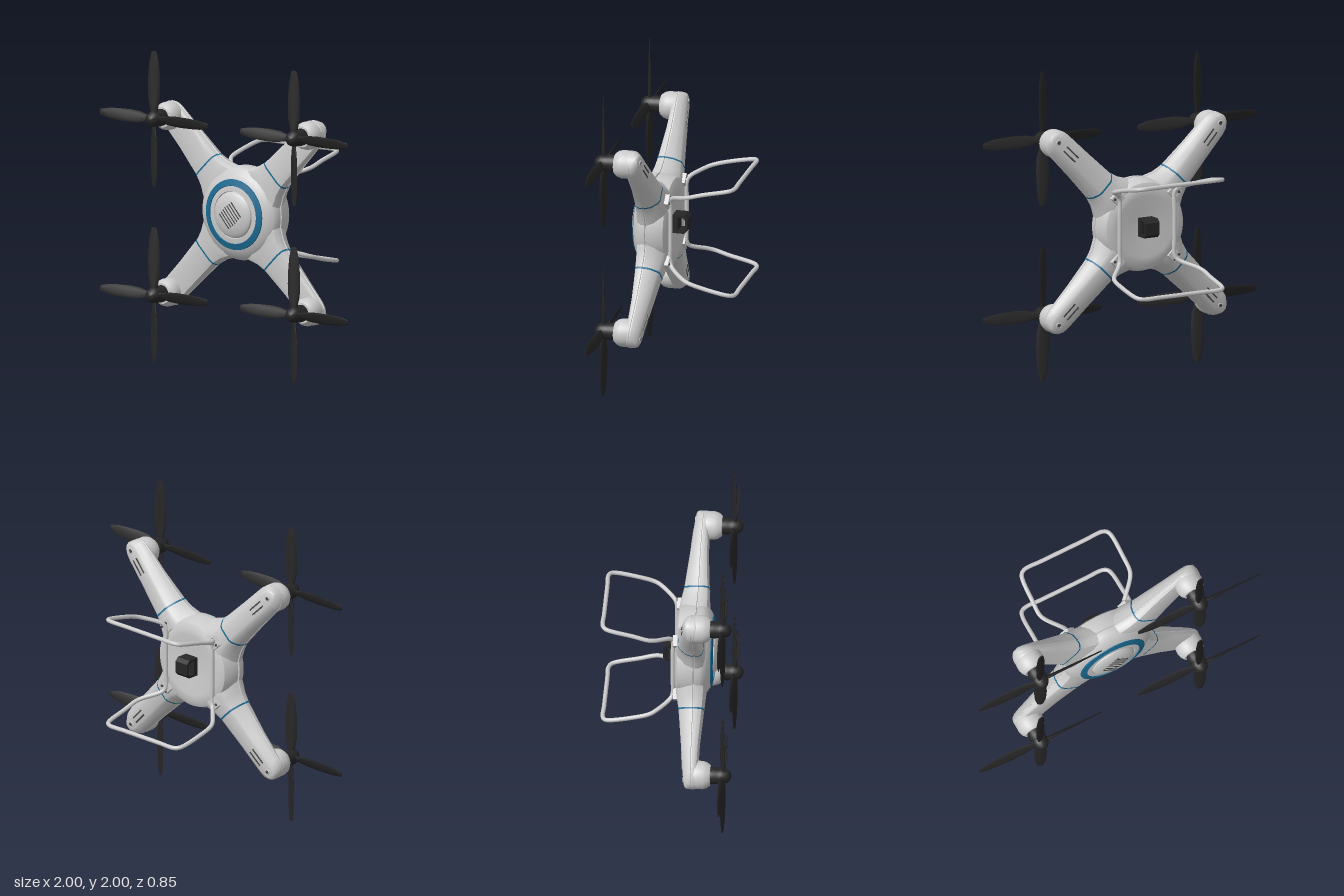
import * as THREE from 'three';
import { toCreasedNormals } from 'three/addons/utils/BufferGeometryUtils.js';

const material = (color) => new THREE.MeshStandardMaterial({ color });
const grey = material(0xcccccc);
const black = material(0x262626);
const blue = material(0x1a6a92);
const dark = material(0x4a4a4a);

function add(parent, name, geometry, mat, x = 0, y = 0, z = 0) {
  const mesh = new THREE.Mesh(geometry, mat);
  mesh.name = name;
  mesh.position.set(x, y, z);
  parent.add(mesh);
  return mesh;
}

// Turned part around the z axis; the profile holds [radius, z] pairs from back to front.
function turned(profile, segments = 48) {
  const pts = profile.map(([r, z]) => new THREE.Vector2(r, z));
  return toCreasedNormals(new THREE.LatheGeometry(pts, segments).rotateX(Math.PI / 2), 0.55);
}

// Skin over rings of [x, y, z] points running along +x.
function loft(rings, capped = true, crease = 0.6) {
  const n = rings[0].length;
  const pos = rings.flat(2);
  const index = [];
  for (let i = 0; i < rings.length - 1; i++) {
    for (let j = 0; j < n; j++) {
      const k = (j + 1) % n;
      const a = i * n + j, b = i * n + k, c = b + n, d = a + n;
      index.push(a, b, c, a, c, d);
    }
  }
  if (capped) {
    [rings[0], rings[rings.length - 1]].forEach((ring, end) => {
      const centre = pos.length / 3;
      for (let q = 0; q < 3; q++) pos.push(ring.reduce((s, p) => s + p[q], 0) / n);
      const base = end ? (rings.length - 1) * n : 0;
      for (let j = 0; j < n; j++) {
        const k = (j + 1) % n;
        if (end) index.push(centre, base + j, base + k);
        else index.push(centre, base + k, base + j);
      }
    });
  }
  const g = new THREE.BufferGeometry();
  g.setAttribute('position', new THREE.Float32BufferAttribute(pos, 3));
  g.setIndex(index);
  return toCreasedNormals(g, crease);
}

// Arm cross-section: narrow back, notched seam, broad rounded front.
function armRing([x, w, front, back]) {
  const s = back + (front - back) * 0.62;
  const half = [
    [0.4, back], [0.58, back + 0.1 * (s - back)], [0.88, back + 0.5 * (s - back)],
    [1, s - 0.006], [0.95, s - 0.003], [0.95, s + 0.003], [1, s + 0.006],
    [0.98, s + 0.5 * (front - s)], [0.86, s + 0.85 * (front - s)], [0.55, front],
  ];
  const right = half.map(([u, z]) => [x, u * w, z]);
  const left = half.map(([u, z]) => [x, -u * w, z]).reverse();
  return [...right, ...left];
}

// Blade cross-section: a pitched, flattened ellipse.
function bladeRing([x, w, t, pitch]) {
  return Array.from({ length: 12 }, (_, i) => {
    const a = (i / 12) * Math.PI * 2;
    const y = w * Math.cos(a), z = t * Math.sin(a);
    return [x, y * Math.cos(pitch) - z * Math.sin(pitch), y * Math.sin(pitch) + z * Math.cos(pitch)];
  });
}

// Stations: distance from centre, half width, front z, back z
const armGeometry = loft([
  [0.12, 0.2, 0.235, 0.05], [0.2, 0.19, 0.235, 0.045], [0.27, 0.155, 0.233, 0.046],
  [0.32, 0.127, 0.23, 0.054], [0.39, 0.107, 0.225, 0.068], [0.6, 0.096, 0.21, 0.092],
  [0.8, 0.09, 0.205, 0.113], [0.84, 0.082, 0.205, 0.118], [0.87, 0.06, 0.205, 0.123],
  [0.885, 0.038, 0.2, 0.13], [0.892, 0.012, 0.195, 0.14],
].map(armRing));
const stripeGeometry = loft([
  [0.384, 0.111, 0.228, 0.064], [0.395, 0.109, 0.227, 0.066],
].map(armRing), false);
const bladeGeometry = loft([
  [0.02, 0.02, 0.012, 0.5], [0.07, 0.026, 0.01, 0.48], [0.12, 0.037, 0.008, 0.44],
  [0.2, 0.041, 0.007, 0.4], [0.29, 0.038, 0.006, 0.36], [0.36, 0.033, 0.005, 0.32],
  [0.41, 0.023, 0.004, 0.28], [0.435, 0.016, 0.003, 0.25],
].map(bladeRing));
const housingGeometry = turned([
  [0, 0.16], [0.08, 0.16], [0.09, 0.19], [0.09, 0.24], [0.083, 0.265], [0.066, 0.287], [0, 0.29],
], 32);
const motorGeometry = turned([
  [0, 0.27], [0.053, 0.27], [0.055, 0.32], [0.05, 0.338], [0.052, 0.35],
  [0.05, 0.375], [0.041, 0.4], [0.022, 0.417], [0, 0.422],
], 24);

function buildArm(angle) {
  const arm = new THREE.Group();
  arm.name = 'armAssembly';
  arm.rotation.z = angle;
  add(arm, 'arm', armGeometry, grey);
  add(arm, 'armStripe', stripeGeometry, blue).material.side = THREE.DoubleSide;
  add(arm, 'motorHousing', housingGeometry, grey, 0.8);
  add(arm, 'motor', motorGeometry, black, 0.8);

  // Vent slots and screw on the back of the arm
  for (const y of [-0.017, 0.017]) {
    const slot = add(arm, 'armVent', new THREE.BoxGeometry(0.11, 0.009, 0.006), dark, 0.72, y, 0.104);
    slot.rotation.y = -0.1;
  }
  add(arm, 'screwRing', new THREE.TorusGeometry(0.015, 0.004, 8, 20), grey, 0.835, 0, 0.117);
  add(arm, 'screw', new THREE.CylinderGeometry(0.012, 0.012, 0.006, 16).rotateX(Math.PI / 2), dark, 0.835, 0, 0.117);

  // Mount that holds the landing frame
  add(arm, 'frameMount', new THREE.BoxGeometry(0.07, 0.07, 0.03), grey, 0.29, 0, 0.042);
  for (const y of [-0.022, 0.022]) {
    add(arm, 'mountScrew', new THREE.CylinderGeometry(0.009, 0.009, 0.008, 12).rotateX(Math.PI / 2), dark, 0.308, y, 0.026);
  }

  // Four-bladed propeller kept square to the model
  const propeller = new THREE.Group();
  propeller.name = 'propeller';
  propeller.position.set(0.8, 0, 0.365);
  propeller.rotation.z = -angle;
  for (let i = 0; i < 4; i++) {
    add(propeller, 'blade', bladeGeometry, black).rotation.z = (i * Math.PI) / 2;
  }
  arm.add(propeller);
  return arm;
}

export function createModel() {
  const model = new THREE.Group();
  model.name = 'quadcopter';
  const craft = new THREE.Group();
  craft.name = 'craft';
  craft.position.y = 1;
  model.add(craft);

  // Central body with seam and raised dome
  add(craft, 'body', turned([
    [0, 0.052], [0.1, 0.052], [0.2, 0.038], [0.245, 0.038], [0.28, 0.055], [0.297, 0.1],
    [0.302, 0.158], [0.292, 0.161], [0.292, 0.166], [0.302, 0.169], [0.3, 0.2], [0.286, 0.225],
    [0.255, 0.245], [0.226, 0.262], [0.185, 0.272], [0.152, 0.275], [0.149, 0.266],
    [0.145, 0.28], [0.125, 0.295], [0.07, 0.304], [0, 0.307],
  ], 64), grey);
  add(craft, 'accentRing', turned([
    [0.229, 0.255], [0.225, 0.267], [0.187, 0.277], [0.183, 0.268],
  ], 64), blue);

  // Grille on the dome
  const grille = new THREE.Group();
  grille.name = 'grille';
  grille.rotation.z = -0.85;
  for (let i = -3; i <= 3; i++) {
    add(grille, 'grilleSlot', new THREE.BoxGeometry(0.13 - Math.abs(i) * 0.005, 0.006, 0.012), dark, 0, i * 0.021, 0.3015);
  }
  craft.add(grille);

  for (let i = 0; i < 4; i++) craft.add(buildArm(Math.PI / 4 + (i * Math.PI) / 2));

  // Landing frame: one bent tube, mirrored into all four quarters
  const quarter = [
    [0.2, 0.1, 0.025], [0.2, 0.2, 0.025], [0.215, 0.23, 0.012], [0.305, 0.275, -0.085], [0.322, 0.288, -0.125],
    [0.323, 0.315, -0.22], [0.318, 0.345, -0.36], [0.306, 0.352, -0.395], [0.275, 0.356, -0.413], [0.15, 0.356, -0.413],
  ];
  const mirrored = (sx, sy) => quarter.map(([x, y, z]) => new THREE.Vector3(sx * x, sy * y, z));
  const path = new THREE.CatmullRomCurve3([
    ...mirrored(1, 1), ...mirrored(-1, 1).reverse(), ...mirrored(-1, -1), ...mirrored(1, -1).reverse(),
  ], true);
  add(craft, 'landingFrame', new THREE.TubeGeometry(path, 320, 0.014, 10, true), grey);

  // Camera bracket: chamfered loop on the back
  const outline = (a, b, h, c) => [[a, -h], [b - c, -h], [b, -h + c], [b, h - c], [b - c, h], [a, h]]
    .map(([x, y]) => new THREE.Vector2(x, y));
  const loop = new THREE.Shape(outline(-0.055, 0.046, 0.06, 0.022));
  loop.holes.push(new THREE.Path(outline(-0.02, 0.031, 0.044, 0.014).reverse()));
  const bracket = new THREE.ExtrudeGeometry(loop, { depth: 0.1, bevelEnabled: false });
  add(craft, 'cameraBracket', bracket.translate(0, 0, -0.05).rotateY(Math.PI / 2), black);

  return model;
}
